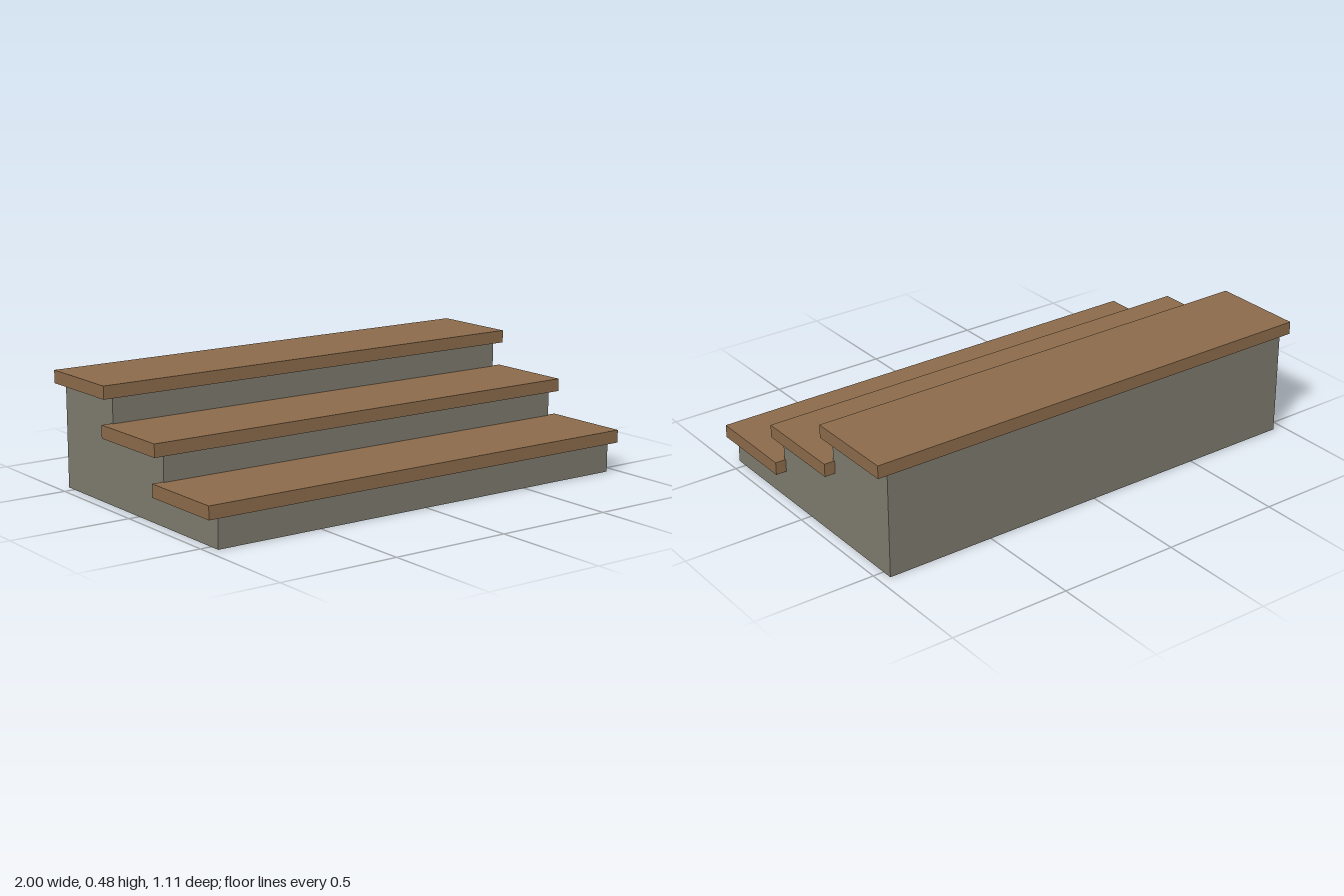
import * as THREE from 'three';

const WIDTH = 2, BODY_WIDTH = 1.91;
const TREAD_DEPTH = 0.386, TREAD_THICKNESS = 0.053;
const FRONT = 0.547, BACK = -0.545, RUN = 0.364;
const FIRST_RISE = 0.119, RISE = 0.1555, OVERHANG = 0.012;
const STEPS = 3;

export function createModel() {
  const group = new THREE.Group();
  group.name = 'steps';

  const stone = new THREE.MeshStandardMaterial({ color: 0x7d7a6d });
  stone.name = 'grey stone';
  const wood = new THREE.MeshStandardMaterial({ color: 0x8b6a4a });
  wood.name = 'brown wood';

  // Stepped base: side profile (z, y) extruded across the width
  const profile = new THREE.Shape();
  profile.moveTo(BACK, 0);
  profile.lineTo(FRONT, 0);
  for (let i = 0; i < STEPS; i++) {
    const top = FIRST_RISE + i * RISE;
    profile.lineTo(FRONT - i * RUN, top);
    profile.lineTo(i < STEPS - 1 ? FRONT - (i + 1) * RUN : BACK, top);
  }
  profile.closePath();
  const baseGeometry = new THREE.ExtrudeGeometry(profile, { depth: BODY_WIDTH, bevelEnabled: false });
  baseGeometry.rotateY(-Math.PI / 2);
  baseGeometry.translate(BODY_WIDTH / 2, 0, 0);
  const base = new THREE.Mesh(baseGeometry, stone);
  base.name = 'steppedBase';
  group.add(base);

  // Overhanging plank on each step
  const treadGeometry = new THREE.BoxGeometry(WIDTH, TREAD_THICKNESS, TREAD_DEPTH);
  for (let i = 0; i < STEPS; i++) {
    const tread = new THREE.Mesh(treadGeometry, wood);
    tread.name = `tread${i + 1}`;
    tread.position.set(
      0,
      FIRST_RISE + i * RISE + TREAD_THICKNESS / 2,
      FRONT + OVERHANG - i * RUN - TREAD_DEPTH / 2
    );
    group.add(tread);
  }
  return group;
}
